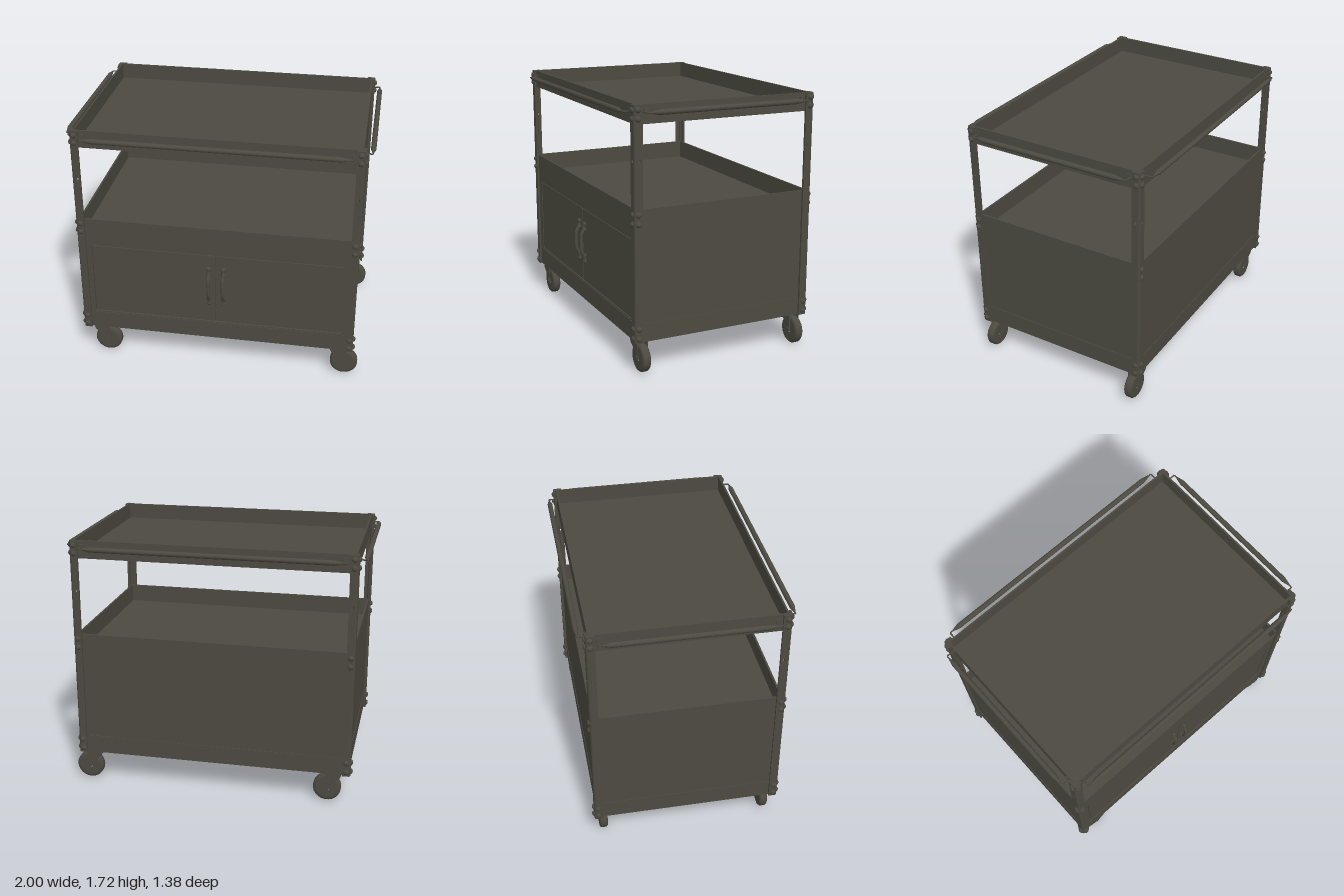
import * as THREE from 'three';

const paint = new THREE.MeshStandardMaterial({ color: 0x4c4a40 });
paint.name = 'olive grey paint';

function add(parent, name, geometry, x = 0, y = 0, z = 0) {
  const mesh = new THREE.Mesh(geometry, paint);
  mesh.name = name;
  mesh.position.set(x, y, z);
  parent.add(mesh);
  return mesh;
}

// Box given by its two extreme corners
function block(parent, name, x0, x1, y0, y1, z0, z1) {
  return add(parent, name, new THREE.BoxGeometry(x1 - x0, y1 - y0, z1 - z0),
    (x0 + x1) / 2, (y0 + y1) / 2, (z0 + z1) / 2);
}

// Open sheet metal tray
function tray(parent, name, y0, y1, floorTop) {
  const g = new THREE.Group(), hw = 0.928, hd = 0.616, t = 0.012;
  g.name = name;
  parent.add(g);
  block(g, 'floor', -hw + t, hw - t, floorTop - t, floorTop, -hd + t, hd - t);
  for (const s of [-1, 1]) {
    add(g, 'long wall', new THREE.BoxGeometry(hw * 2, y1 - y0, t), 0, (y0 + y1) / 2, s * (hd - t / 2));
    add(g, 'short wall', new THREE.BoxGeometry(t, y1 - y0, hd * 2 - t * 2), s * (hw - t / 2), (y0 + y1) / 2, 0);
  }
}

// Flat strip with one round hole, extruded along z
function strip(u0, u1, y0, y1, hu, hy, depth) {
  const s = new THREE.Shape([[u0, y0], [u1, y0], [u1, y1], [u0, y1]].map(p => new THREE.Vector2(...p)));
  s.holes.push(new THREE.Path().absarc(hu, hy, 0.012, 0, Math.PI * 2, true));
  return new THREE.ExtrudeGeometry(s, { depth, bevelEnabled: false, curveSegments: 12 });
}

function bolt(parent, x, y, z, axis, dir) {
  const g = new THREE.LatheGeometry([[0.019, 0], [0.019, 0.003], [0.015, 0.01], [0.008, 0.014], [0, 0.015]]
    .map(p => new THREE.Vector2(...p)), 12);
  if (axis === 'z') g.rotateX(dir * Math.PI / 2);
  else g.rotateZ(-dir * Math.PI / 2);
  add(parent, 'bolt', g, x, y, z);
}

// Angle-iron corner post with rounded outer edge
function post(parent, sx, sz) {
  const g = new THREE.Group(), y0 = 0.21, y1 = 1.72;
  g.name = 'corner post';
  parent.add(g);
  const a = sx > 0 ? [0.89, 0.93] : [-0.93, -0.89];
  add(g, 'wide flange', strip(...a, y0, y1, sx * 0.915, 1.38, 0.015), 0, 0, sz > 0 ? 0.618 : -0.633);
  const b = sz > 0 ? [-0.618, -0.575] : [0.575, 0.618];
  const side = strip(...b, y0, y1, -sz * 0.604, 1.38, 0.015).rotateY(Math.PI / 2);
  add(g, 'side flange', side, sx > 0 ? 0.93 : -0.945, 0, 0);
  add(g, 'rounded edge', new THREE.CylinderGeometry(0.015, 0.015, y1 - y0, 16),
    sx * 0.93, (y0 + y1) / 2, sz * 0.618);
  for (const y of [1.69, 1.635, 1.045, 0.985, 0.305, 0.24]) {
    bolt(g, sx * 0.917, y, sz * 0.632, 'z', sz);
    if (sz > 0 || y > 1.5 || y < 0.5) bolt(g, sx * 0.944, y, sz * 0.606, 'x', sx);
  }
}

// Tapered grab rail on two thin bent brackets, built facing +z
function rail(parent, name, half, wall, out) {
  const g = new THREE.Group();
  g.name = name;
  parent.add(g);
  const y = 1.675;
  const bar = new THREE.LatheGeometry([[0, -half], [0.006, -half], [0.017, -half + 0.05],
    [0.017, half - 0.05], [0.006, half], [0, half]].map(p => new THREE.Vector2(...p)), 14);
  add(g, 'grip', bar.rotateZ(-Math.PI / 2), 0, y, out);
  for (const s of [-1, 1]) {
    const e = s * (half + 0.025);
    const path = new THREE.CurvePath();
    const pts = [[s * half, y, out], [e, y, out], [e, y, wall]].map(p => new THREE.Vector3(...p));
    path.add(new THREE.LineCurve3(pts[0], pts[1]));
    path.add(new THREE.LineCurve3(pts[1], pts[2]));
    add(g, 'bracket', new THREE.TubeGeometry(path, 12, 0.005, 8), 0, 0, 0);
    add(g, 'bracket foot', new THREE.BoxGeometry(0.03, 0.035, 0.008), e - s * 0.01, y, wall + 0.002);
  }
  return g;
}

// Swivel caster, wheel trailing toward +x
function caster(parent, x, z) {
  const g = new THREE.Group();
  g.name = 'caster';
  g.position.set(x, 0, z);
  parent.add(g);
  const profile = [[0.02, -0.028], [0.07, -0.028], [0.085, -0.027], [0.094, -0.017],
    [0.094, 0.017], [0.085, 0.027], [0.07, 0.028], [0.02, 0.028]].map(p => new THREE.Vector2(...p));
  add(g, 'wheel', new THREE.LatheGeometry(profile, 32).rotateX(Math.PI / 2), 0, 0.094, 0);
  add(g, 'axle', new THREE.CylinderGeometry(0.015, 0.015, 0.086, 12).rotateX(Math.PI / 2), 0, 0.097, 0);
  const leg = new THREE.Shape([[-0.1, 0.207], [0.015, 0.207], [0.022, 0.09], [0.008, 0.077], [-0.012, 0.082],
    [-0.055, 0.155], [-0.085, 0.17]].map(p => new THREE.Vector2(...p)));
  for (const zz of [-0.038, 0.032])
    add(g, 'fork leg', new THREE.ExtrudeGeometry(leg, { depth: 0.006, bevelEnabled: false }), 0, 0, zz);
  add(g, 'fork crown', new THREE.BoxGeometry(0.11, 0.008, 0.076), -0.043, 0.202, 0);
  add(g, 'swivel', new THREE.CylinderGeometry(0.03, 0.03, 0.02, 20), -0.045, 0.205, 0);
}

// Pull handle bowed out from the door
function handle(parent, x) {
  const g = new THREE.Group();
  g.name = 'door handle';
  parent.add(g);
  const z = 0.612;
  const curve = new THREE.CatmullRomCurve3([[0.5, z], [0.54, z + 0.012], [0.57, z + 0.026], [0.63, z + 0.029],
    [0.69, z + 0.026], [0.72, z + 0.012], [0.76, z]].map(p => new THREE.Vector3(x, p[0], p[1])));
  add(g, 'grip', new THREE.TubeGeometry(curve, 28, 0.012, 10));
  for (const y of [0.495, 0.535, 0.725, 0.765])
    add(g, 'screw pad', new THREE.SphereGeometry(0.017, 12, 8), x, y, z);
}

export function createModel() {
  const cart = new THREE.Group();
  cart.name = 'utility cart';

  tray(cart, 'top tray', 1.6, 1.72, 1.612);
  tray(cart, 'middle tray', 0.88, 1.075, 0.95);
  tray(cart, 'bottom tray', 0.21, 0.332, 0.222);

  // Cabinet walls, set slightly inside the trays
  const cabinet = new THREE.Group();
  cabinet.name = 'cabinet';
  cart.add(cabinet);
  for (const s of [-1, 1])
    add(cabinet, 'side panel', new THREE.BoxGeometry(0.012, 0.556, 1.22), s * 0.918, 0.606, 0);
  block(cabinet, 'back panel', -0.915, 0.915, 0.328, 0.884, -0.612, -0.6);
  block(cabinet, 'door recess', -0.87, 0.87, 0.33, 0.884, 0.588, 0.594);

  // Door frame and the two doors
  const rect = (x, y0, y1) => [[-x, y0], [x, y0], [x, y1], [-x, y1]].map(p => new THREE.Vector2(...p));
  const frame = new THREE.Shape(rect(0.915, 0.328, 0.884));
  frame.holes.push(new THREE.Path(rect(0.858, 0.341, 0.872).reverse()));
  add(cabinet, 'door frame', new THREE.ExtrudeGeometry(frame, { depth: 0.018, bevelEnabled: false }), 0, 0, 0.594);
  for (const s of [-1, 1]) {
    add(cabinet, 'door', new THREE.BoxGeometry(0.844, 0.519, 0.016), s * 0.427, 0.6065, 0.602);
    handle(cabinet, s * 0.049);
  }

  for (const sx of [-1, 1]) for (const sz of [-1, 1]) post(cart, sx, sz);

  // Grab rails on all four sides
  rail(cart, 'front rail', 0.845, 0.616, 0.672);
  rail(cart, 'back rail', 0.845, 0.616, 0.672).rotation.y = Math.PI;
  rail(cart, 'left rail', 0.535, 0.928, 0.983).rotation.y = Math.PI / 2;
  rail(cart, 'right rail', 0.535, 0.928, 0.983).rotation.y = -Math.PI / 2;

  for (const x of [-0.787, 0.887]) for (const z of [-0.565, 0.565]) caster(cart, x, z);
  return cart;
}
